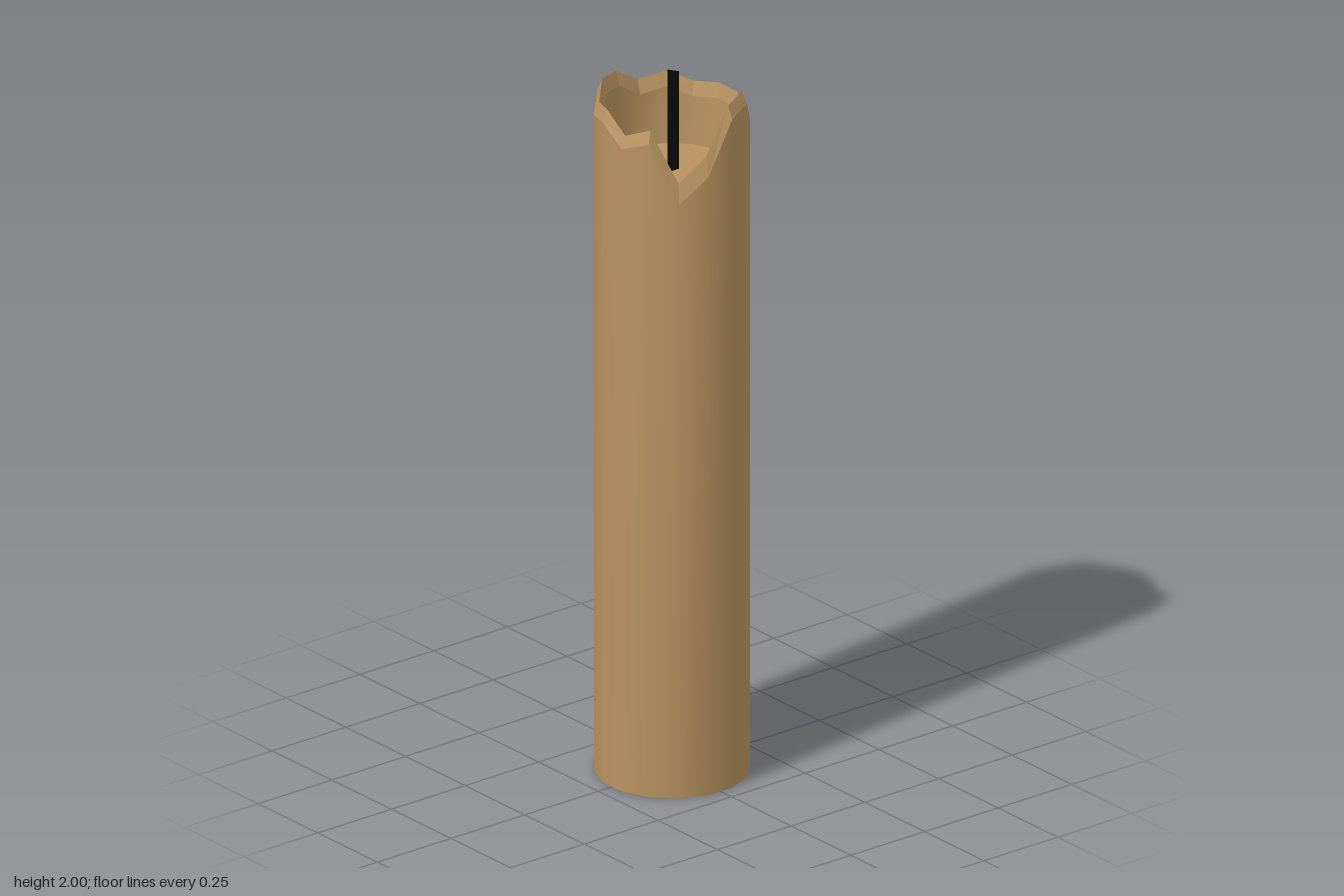
import * as THREE from 'three';

const SIDES = 16;
const FLOOR_Y = 1.72;
// Height of the melted rim at each corner, starting at the front and going towards +x
const RIM = [1.955, 1.97, 1.89, 1.905, 1.905, 1.895, 1.92, 1.905,
  1.95, 1.955, 1.92, 1.93, 1.88, 1.91, 1.76, 1.83];

// Ring of corner points; height(k) gives y for each corner
function ring(radius, height) {
  return Array.from({ length: SIDES }, (_, k) => {
    const a = (k + 0.5) * Math.PI * 2 / SIDES;
    return [Math.sin(a) * radius, height(k), Math.cos(a) * radius];
  });
}

// Closed strip between two rings, either smooth or faceted
function band(lower, upper, smooth) {
  const index = [];
  for (let i = 0; i < SIDES; i++) {
    const j = (i + 1) % SIDES;
    index.push(i, j, SIDES + j, i, SIDES + j, SIDES + i);
  }
  let geo = new THREE.BufferGeometry();
  geo.setAttribute('position', new THREE.Float32BufferAttribute([...lower, ...upper].flat(), 3));
  geo.setIndex(index);
  if (!smooth) geo = geo.toNonIndexed();
  geo.computeVertexNormals();
  return geo;
}

// Flat disc matching the corners of a ring
function disc(radius, y, up) {
  const geo = new THREE.CircleGeometry(radius, SIDES, Math.PI / SIDES);
  geo.rotateX(up ? -Math.PI / 2 : Math.PI / 2);
  return geo.translate(0, y, 0);
}

export function createModel() {
  const wax = new THREE.MeshStandardMaterial({ color: 0xb8925f });
  wax.name = 'wax';
  const black = new THREE.MeshStandardMaterial({ color: 0x080808 });
  black.name = 'wickBlack';

  const group = new THREE.Group();
  group.name = 'candle';
  const add = (name, geo, mat) => {
    const mesh = new THREE.Mesh(geo, mat);
    mesh.name = name;
    group.add(mesh);
    return mesh;
  };

  const base = ring(0.207, () => 0);
  const shoulder = ring(0.207, k => RIM[k] - (RIM[k] < 1.85 ? 0.055 : 0.035));
  const crest = ring(0.193, k => RIM[k]);
  const lip = ring(0.181, k => Math.max(RIM[k] - 0.04, FLOOR_Y));
  const pool = ring(0.175, () => FLOOR_Y);

  // Candle body
  add('outerWall', band(base, shoulder, true), wax);
  add('base', disc(0.207, 0, false), wax);

  // Jagged melted rim
  add('rimOuterSlope', band(shoulder, crest, false), wax);
  add('rimInnerSlope', band(crest, lip, false), wax);

  // Hollow at the top
  add('innerWall', band(lip, pool, true), wax);
  add('hollowFloor', disc(0.175, FLOOR_Y, true), wax);

  // Three-sided wick
  const wick = new THREE.CylinderGeometry(0.019, 0.019, 2 - FLOOR_Y, 3);
  wick.rotateY(Math.PI);
  add('wick', wick, black).position.y = (2 + FLOOR_Y) / 2;

  return group;
}
